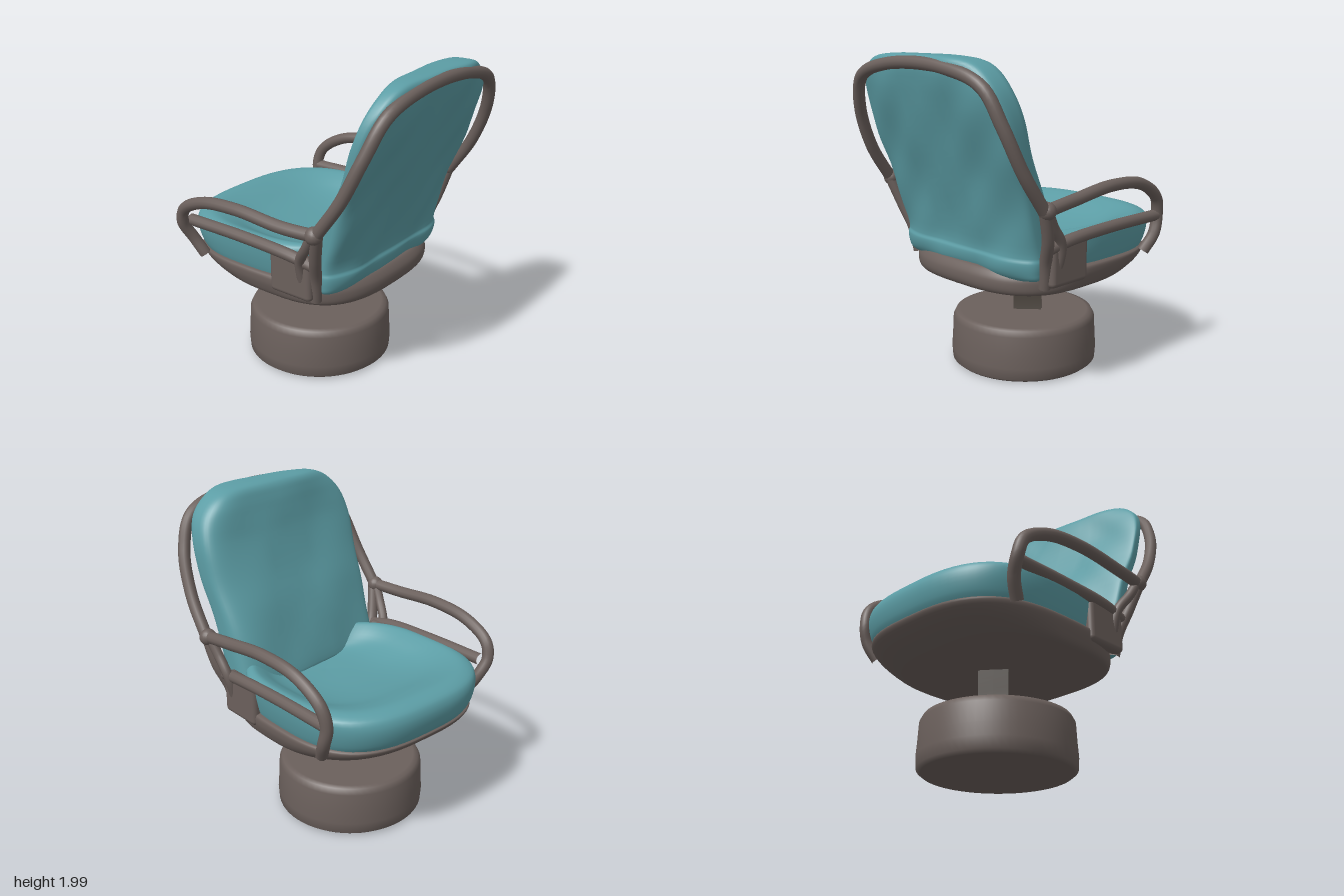
import * as THREE from 'three';
import { RoundedBoxGeometry } from 'three/addons/geometries/RoundedBoxGeometry.js';

const teal = new THREE.MeshStandardMaterial({ color: 0x5c9da5 });
const metal = new THREE.MeshStandardMaterial({ color: 0x6b605c });
const dark = new THREE.MeshStandardMaterial({ color: 0x48413a });

function add(parent, name, geometry, material, x = 0, y = 0, z = 0) {
  const mesh = new THREE.Mesh(geometry, material);
  mesh.name = name;
  mesh.position.set(x, y, z);
  parent.add(mesh);
  return mesh;
}

// Stacked superellipse sections: [y, half width, rear z, front z].
// skew pushes the front face forward toward -x; ripple adds soft dents.
function loft(rows, power, skew = 0, ripple = 0, sides = 64) {
  const width = new THREE.CatmullRomCurve3(rows.map(([y, w]) => new THREE.Vector3(w, y, 0)), false, 'centripetal');
  const depth = new THREE.CatmullRomCurve3(rows.map(([y, , a, b]) => new THREE.Vector3(a, y, b)), false, 'centripetal');
  const steps = (rows.length - 1) * 4;
  const pos = [], index = [];
  for (let j = 0; j <= steps; j++) {
    const s = width.getPoint(j / steps), d = depth.getPoint(j / steps);
    for (let i = 0; i < sides; i++) {
      const t = (i / sides) * Math.PI * 2, c = Math.cos(t), n = Math.sin(t);
      const px = Math.sign(c) * Math.abs(c) ** (2 / power) * Math.max(s.x, 0);
      const pz = Math.sign(n) * Math.abs(n) ** (2 / power);
      const wave = ripple * Math.sin(px * 13 + s.y * 4) * Math.sin(s.y * 11 + px * 3);
      pos.push(px, s.y, (d.x + d.z) / 2 + pz * (d.z - d.x) / 2 + wave - skew * px * Math.max(pz, 0));
      if (j < steps) {
        const a = j * sides + i, b = j * sides + (i + 1) % sides;
        index.push(a, a + sides, b, b, a + sides, b + sides);
      }
    }
  }
  const g = new THREE.BufferGeometry();
  g.setAttribute('position', new THREE.Float32BufferAttribute(pos, 3));
  g.setIndex(index);
  g.computeVertexNormals();
  return g;
}

function tube(points, radius) {
  const path = new THREE.CatmullRomCurve3(points.map(p => new THREE.Vector3(...p)));
  return new THREE.TubeGeometry(path, points.length * 8, radius, 12);
}

export function createModel() {
  const model = new THREE.Group();
  model.name = 'swivelChair';

  // Drum foot with softened edges
  const drum = [[0, 0.02], [0.44, 0.01], [0.465, 0.03], [0.47, 0.1], [0.464, 0.18], [0.458, 0.3], [0.44, 0.335], [0.41, 0.342], [0, 0.342]];
  add(model, 'drumBase', new THREE.LatheGeometry(drum.map(p => new THREE.Vector2(...p)), 64), metal, -0.11, 0, -0.055);

  // Flat pedestal post, flared at the foot
  const post = new THREE.BoxGeometry(0.085, 0.34, 0.18, 2, 12, 2);
  const p = post.attributes.position;
  for (let i = 0; i < p.count; i++) {
    const low = Math.max(0, -p.getY(i) / 0.17);
    p.setX(i, p.getX(i) * (1 + 0.4 * low * low));
  }
  post.computeVertexNormals();
  add(model, 'pedestalPost', post, dark, -0.12, 0.49, -0.08);

  // Upper chair turned on its post
  const chair = new THREE.Group();
  chair.name = 'upperChair';
  chair.rotation.y = THREE.MathUtils.degToRad(-132);
  chair.position.set(-0.014, 0, 0.014);
  model.add(chair);

  // Dished seat pan, sloping up toward the front
  add(chair, 'seatPan', loft([
    [0.64, 0.001, 0.1, 0.101], [0.634, 0.55, -0.43, 0.42], [0.65, 0.6, -0.475, 0.58],
    [0.7, 0.625, -0.49, 0.73], [0.745, 0.635, -0.48, 0.8], [0.78, 0.63, -0.45, 0.815], [0.79, 0.55, -0.35, 0.7]
  ], 2.9), metal);

  // Broad seat cushion, raised at the front and sunken toward the back
  add(chair, 'seatCushion', loft([
    [0.76, 0.6, -0.38, 0.79], [0.82, 0.62, -0.38, 0.825], [0.92, 0.64, -0.38, 0.84], [0.98, 0.64, -0.38, 0.815],
    [1.005, 0.59, -0.36, 0.74], [0.98, 0.52, -0.34, 0.63], [0.92, 0.42, -0.3, 0.46],
    [0.875, 0.27, -0.27, 0.22], [0.86, 0.001, -0.1, -0.099]
  ], 2.9), teal);

  // Leaning back cushion
  add(chair, 'backCushion', loft([
    [0.74, 0.001, -0.31, -0.309], [0.745, 0.56, -0.42, -0.2], [0.79, 0.575, -0.45, -0.18], [0.85, 0.58, -0.46, -0.18],
    [0.88, 0.575, -0.45, -0.18], [1.05, 0.58, -0.485, -0.23], [1.3, 0.59, -0.56, -0.32], [1.5, 0.605, -0.63, -0.41],
    [1.7, 0.605, -0.7, -0.485], [1.83, 0.57, -0.74, -0.52], [1.92, 0.5, -0.76, -0.545],
    [1.975, 0.41, -0.76, -0.57], [1.997, 0.27, -0.74, -0.61], [2.0, 0.001, -0.68, -0.679]
  ], 3.5, 0.12, 0.01), teal);

  // Hoop round the back
  add(chair, 'backHoop', tube([
    [0.71, 1.18, -0.41], [0.69, 1.4, -0.56], [0.64, 1.65, -0.67], [0.53, 1.85, -0.73], [0.24, 1.94, -0.75],
    [-0.24, 1.94, -0.75], [-0.53, 1.85, -0.73], [-0.63, 1.65, -0.68], [-0.67, 1.4, -0.57], [-0.68, 1.18, -0.42]
  ], 0.037), metal);

  // Arms, struts and side rails; one arm sits wider, the other bends higher
  for (const [s, joint, arm, lift] of [[1, 0.71, 0.73, 0], [-1, 0.68, 0.675, 0.045]]) {
    const put = (name, pts, r) => add(chair, name, tube(pts.map(([x, y, z]) => [s * x, y, z]), r), metal);
    put('armrest', [[joint, 1.18, -0.41], [arm, 1.18 + lift * 0.6, -0.18], [arm, 1.2 + lift, 0.15], [arm - 0.01, 1.17 + lift, 0.43],
      [arm - 0.025, 1.08 + lift * 0.5, 0.61], [arm - 0.04, 0.98, 0.645], [0.635, 0.87, 0.62], [0.6, 0.76, 0.56]], 0.037);
    put('rearStrut', [[joint, 1.2, -0.42], [0.65, 1.0, -0.36], [0.595, 0.85, -0.32], [0.57, 0.7, -0.3]], 0.036);
    put('forkStrut', [[joint, 1.2, -0.4], [joint - 0.02, 1.08, -0.33], [0.65, 0.96, -0.25], [0.61, 0.8, -0.24]], 0.03);
    put('seatRail', [[0.62, 0.94, -0.32], [0.635, 0.97, -0.15], [0.635, 0.985, 0.2], [0.635, 0.985, 0.63]], 0.036);
    add(chair, 'sidePanel', new RoundedBoxGeometry(0.08, 0.27, 0.3, 3, 0.03), metal, s * 0.605, 0.84, -0.16);
    add(chair, 'armJoint', new THREE.SphereGeometry(0.052, 16, 12), metal, s * joint, 1.18, -0.4);
  }
  return model;
}
